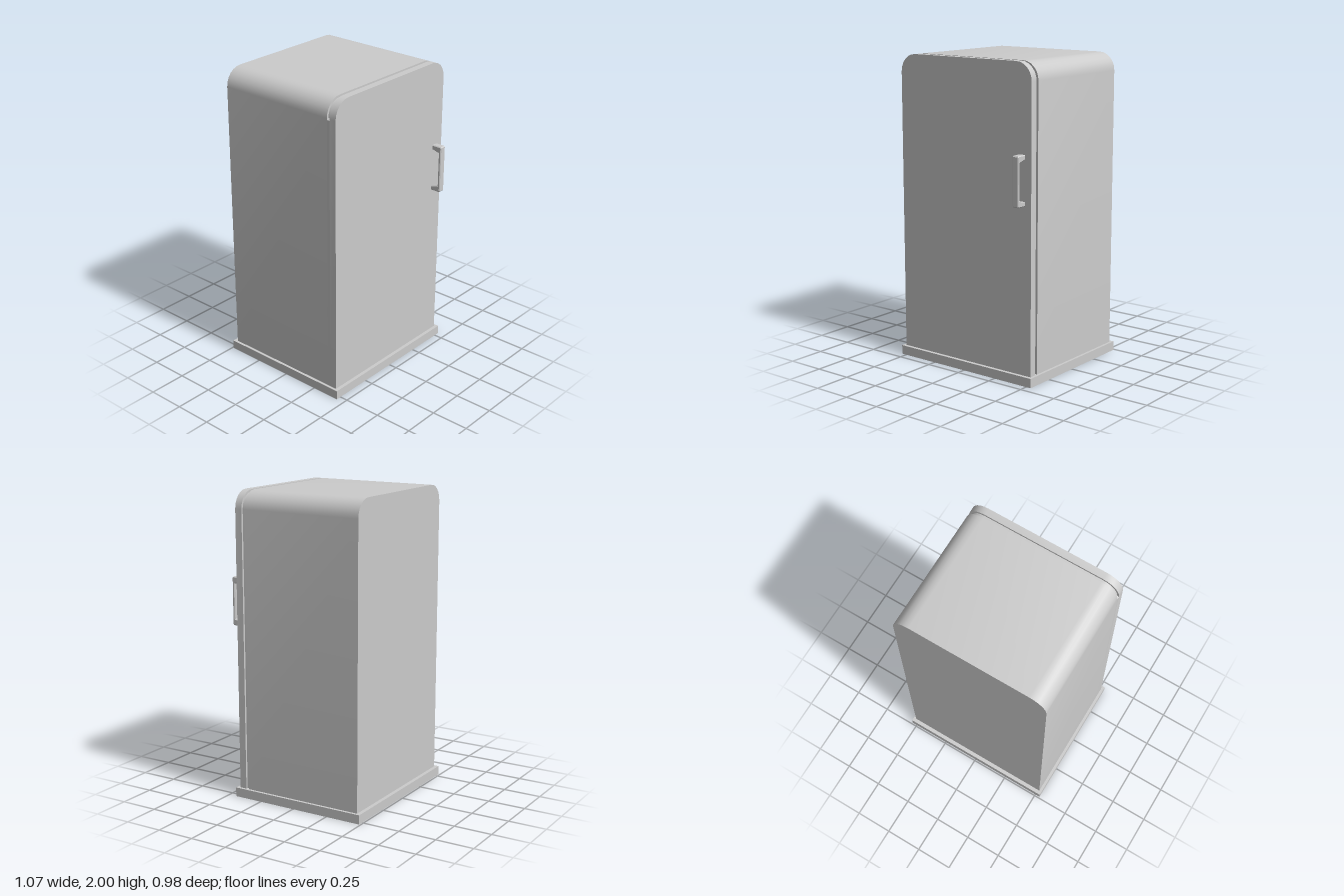
import * as THREE from 'three';
import { toCreasedNormals } from 'three/addons/utils/BufferGeometryUtils.js';

const material = new THREE.MeshStandardMaterial({ color: 0xcccccc });
const W = 0.517, BASE = 0.06, TOP = 2, R = 0.115, GAP = 0.014;

function addMesh(group, name, geometry) {
  const mesh = new THREE.Mesh(geometry, material);
  mesh.name = name;
  group.add(mesh);
  return mesh;
}

// Upright panel outline with rounded top corners; the left edge may step out at the hinge
function panelShape(inset, hinged = false) {
  const w = W - inset, top = TOP - inset, r = R - inset, y = top - r;
  const s = new THREE.Shape();
  s.moveTo(hinged ? -W : -w, BASE);
  s.lineTo(w, BASE);
  s.lineTo(w, y);
  s.absarc(w - r, y, r, 0, Math.PI / 2, false);
  s.lineTo(-w + r, top);
  s.absarc(-w + r, y, r, Math.PI / 2, Math.PI, false);
  if (hinged) s.lineTo(-W, y - 0.01);
  return s;
}

// Panel extruded between two depths, rounded corners smooth and rims sharp
function panel(shape, z0, z1) {
  const g = new THREE.ExtrudeGeometry(shape, { depth: z1 - z0, bevelEnabled: false, curveSegments: 3 });
  g.translate(0, 0, z0);
  return toCreasedNormals(g, 0.65);
}

export function createModel() {
  const model = new THREE.Group();
  model.name = 'refrigerator';

  // Plinth
  const plinth = addMesh(model, 'plinth', new THREE.BoxGeometry(1.07, BASE, 0.935));
  plinth.position.set(0, BASE / 2, -0.0225);

  // Cabinet, recessed seal (flush on the hinge side) and door
  addMesh(model, 'cabinet', panel(panelShape(0), -0.465, 0.355));
  addMesh(model, 'doorSeal', panel(panelShape(GAP, true), 0.355, 0.375));
  addMesh(model, 'door', panel(panelShape(0), 0.375, 0.422));

  // Handle: bracket profile drawn in depth and height, with bevelled edges
  const profile = new THREE.Shape([
    [0.415, 1.13], [0.484, 1.13], [0.49, 1.137], [0.49, 1.438], [0.484, 1.445], [0.415, 1.445],
    [0.415, 1.416], [0.472, 1.401], [0.472, 1.172], [0.415, 1.157],
  ].map(([z, y]) => new THREE.Vector2(z, y)));
  const bevel = 0.005, width = 0.046;
  const handle = new THREE.ExtrudeGeometry(profile, {
    depth: width - 2 * bevel, bevelThickness: bevel, bevelSize: bevel, bevelOffset: -bevel, bevelSegments: 1,
  });
  handle.rotateY(-Math.PI / 2);
  handle.translate(0.448 + width / 2 - bevel, 0, 0);
  addMesh(model, 'doorHandle', handle);

  return model;
}
